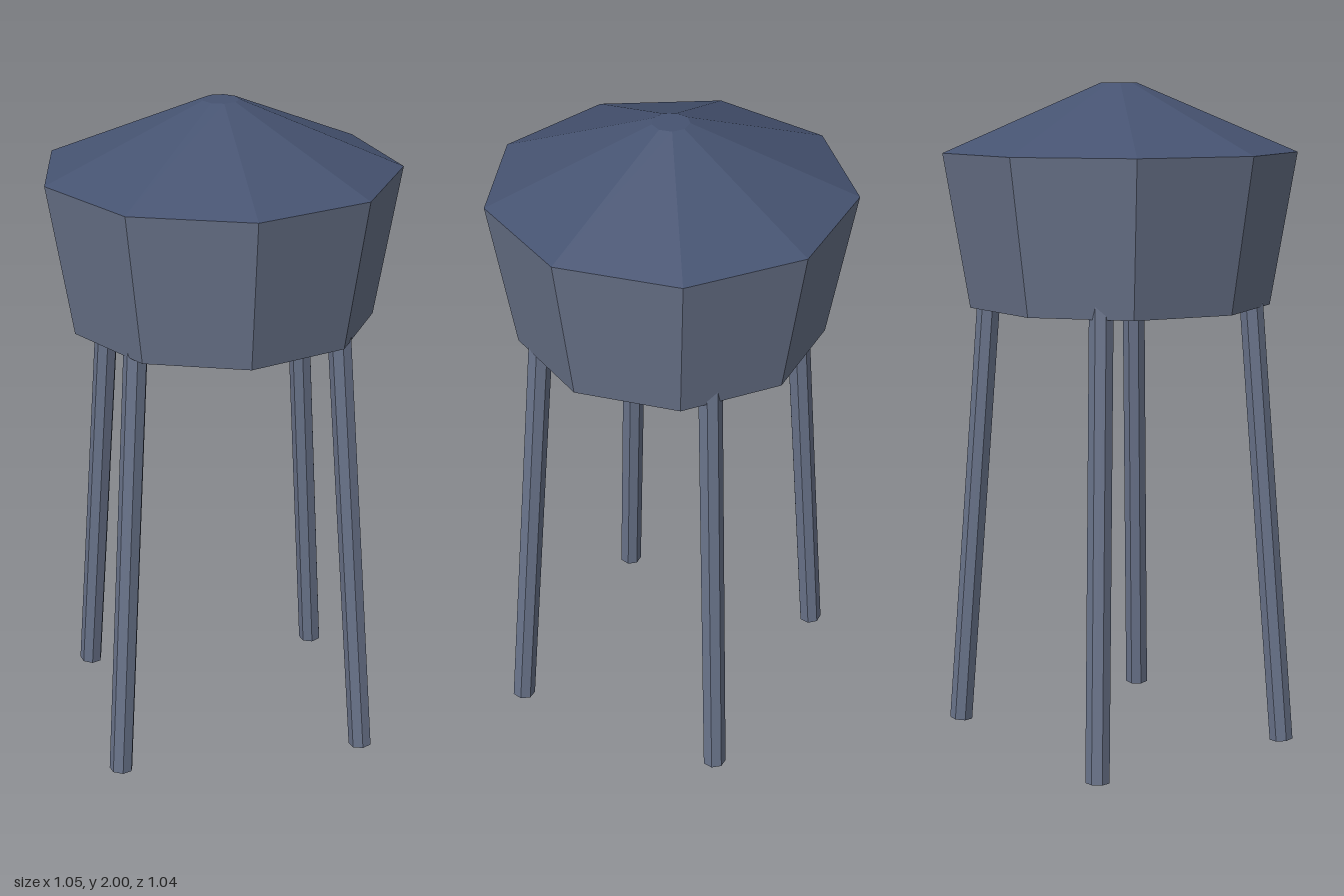
import * as THREE from 'three';

const SIDES = 9;
const CENTRE_Z = -0.018;

export function createModel() {
  const tower = new THREE.Group();
  tower.name = 'waterTower';

  const steel = new THREE.MeshStandardMaterial({ color: 0x69738a, flatShading: true });
  steel.name = 'grey blue steel';
  const roofBlue = new THREE.MeshStandardMaterial({ color: 0x465371, flatShading: true });
  roofBlue.name = 'dark blue roof';

  // Upright tapered drum between two heights
  function drum(name, topRadius, bottomRadius, y0, y1, material) {
    const mesh = new THREE.Mesh(
      new THREE.CylinderGeometry(topRadius, bottomRadius, y1 - y0, SIDES), material);
    mesh.name = name;
    mesh.position.set(0, (y0 + y1) / 2, CENTRE_Z);
    tower.add(mesh);
  }

  // Tank widening upwards, with a shallow roof flush with its rim
  drum('tank', 0.535, 0.457, 1.34, 1.797, steel);
  drum('roof', 0.055, 0.535, 1.797, 2.0, roofBlue);

  // Four seven-sided legs leaning in towards the tank
  const up = new THREE.Vector3(0, 1, 0);
  for (const [sx, sz, name] of [
    [1, 1, 'frontLeftLeg'], [-1, 1, 'frontRightLeg'],
    [1, -1, 'backLeftLeg'], [-1, -1, 'backRightLeg'],
  ]) {
    const foot = new THREE.Vector3(sx * 0.379, 0.003, CENTRE_Z + sz * 0.345);
    const head = new THREE.Vector3(sx * 0.296, 1.42, CENTRE_Z + sz * 0.27);
    const axis = head.clone().sub(foot);
    const leg = new THREE.Mesh(
      new THREE.CylinderGeometry(0.036, 0.036, axis.length(), 7), steel);
    leg.name = name;
    leg.position.copy(foot).add(head).multiplyScalar(0.5);
    leg.quaternion.setFromUnitVectors(up, axis.normalize());
    tower.add(leg);
  }

  return tower;
}
